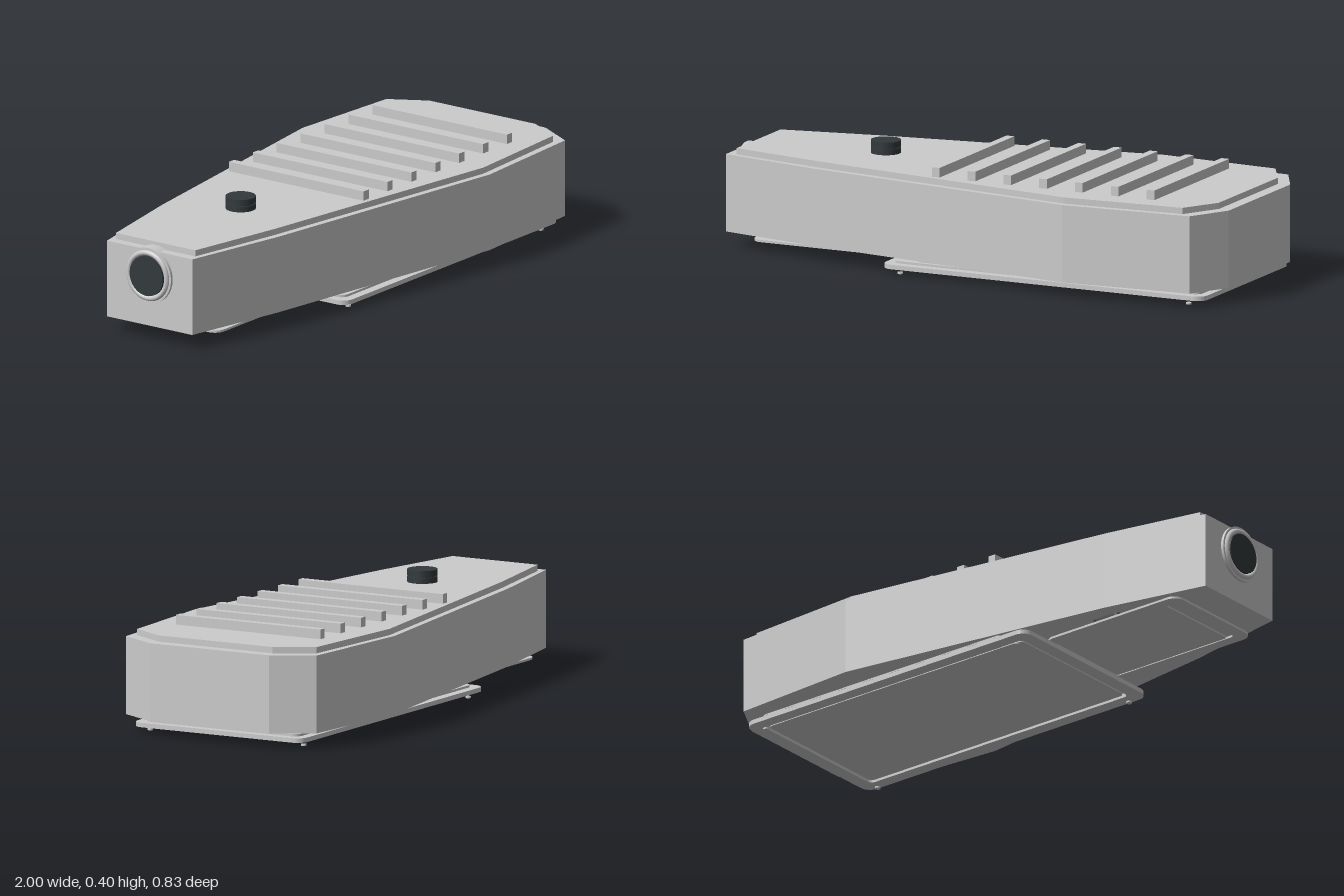
import * as THREE from 'three';

const grey = new THREE.MeshStandardMaterial({ color: 0xcccccc, flatShading: true });
const smooth = new THREE.MeshStandardMaterial({ color: 0xcccccc });
const dark = new THREE.MeshStandardMaterial({ color: 0x33393c });

// Symmetric plan outline from one side's [x, z] points
function outline(half) {
  const other = half.map(([x, z]) => [x, -z]).reverse();
  return new THREE.Shape([...other, ...half].map(([x, z]) => new THREE.Vector2(x, z)));
}

// Rounded rectangle in plan, half-width w, from x0 to x1
function roundedRect(x0, x1, w, r, Type = THREE.Shape) {
  const s = new Type();
  s.absarc(x1 - r, w - r, r, 0, Math.PI / 2);
  s.absarc(x0 + r, w - r, r, Math.PI / 2, Math.PI);
  s.absarc(x0 + r, -w + r, r, Math.PI, Math.PI * 1.5);
  s.absarc(x1 - r, -w + r, r, Math.PI * 1.5, Math.PI * 2);
  s.closePath();
  return s;
}

export function createModel() {
  const model = new THREE.Group();
  model.name = 'footPedal';

  function add(name, geometry, material, x = 0, y = 0, z = 0) {
    const mesh = new THREE.Mesh(geometry, material);
    mesh.name = name;
    mesh.position.set(x, y, z);
    model.add(mesh);
    return mesh;
  }

  // Extrude a plan shape upwards between two heights
  function slab(name, shape, y0, y1, material = grey) {
    const g = new THREE.ExtrudeGeometry(shape, { depth: y1 - y0, bevelEnabled: false, curveSegments: 6 });
    g.rotateX(-Math.PI / 2);
    return add(name, g, material, 0, y0, 0);
  }

  // Tapered body and inset top plate
  slab('body', outline([[-0.98, 0.185], [-0.59, 0.265], [0.44, 0.416], [0.92, 0.385], [1, 0.24]]), 0.055, 0.33);
  slab('topPlate', outline([[-0.945, 0.172], [-0.58, 0.242], [0.435, 0.392], [0.882, 0.362], [0.957, 0.23]]), 0.33, 0.352);

  // Grip ribs
  for (let i = 0; i < 7; i++) {
    add(`gripRib${i + 1}`, new THREE.BoxGeometry(0.03, 0.035, 0.584), grey, -0.112 + i * 0.139, 0.3685, 0);
  }

  // Button: a stem with a wider cap
  const profile = [[0, 0], [0.053, 0], [0.053, 0.02], [0.048, 0.02], [0.048, 0.024], [0.053, 0.024], [0.053, 0.045], [0, 0.045]];
  const button = new THREE.LatheGeometry(profile.map(p => new THREE.Vector2(...p)), 32);
  add('button', button, new THREE.MeshStandardMaterial({ color: 0x33393c, flatShading: true }), -0.45, 0.352, 0);

  // Socket at the narrow end
  const collar = new THREE.CylinderGeometry(0.1, 0.1, 0.045, 40).rotateZ(Math.PI / 2);
  add('socketCollar', collar, smooth, -0.9675, 0.24, 0);
  const rim = new THREE.TorusGeometry(0.082, 0.01, 8, 40).rotateY(Math.PI / 2);
  add('socketRim', rim, smooth, -0.99, 0.24, 0);
  const hole = new THREE.CylinderGeometry(0.072, 0.072, 0.02, 40).rotateZ(Math.PI / 2);
  add('socketHole', hole, dark, -0.99, 0.24, 0);

  // Wide base plate: frame with an inset panel
  const frame = roundedRect(-0.3, 0.95, 0.343, 0.04);
  frame.holes.push(roundedRect(-0.25, 0.9, 0.295, 0.02, THREE.Path));
  slab('baseFrame', frame, 0.02, 0.036);
  slab('basePanel', roundedRect(-0.24, 0.89, 0.285, 0.02), 0.023, 0.036);
  slab('baseGasket', roundedRect(-0.27, 0.92, 0.31, 0.03), 0.036, 0.044);
  slab('baseSeat', roundedRect(-0.18, 0.9, 0.32, 0.03), 0.05, 0.056);

  // Narrow plate under the socket end
  const narrow = roundedRect(-0.87, -0.28, 0.212, 0.04);
  narrow.holes.push(roundedRect(-0.82, -0.3, 0.17, 0.01, THREE.Path));
  slab('narrowFrame', narrow, 0.036, 0.044);
  slab('narrowPanel', roundedRect(-0.79, -0.3, 0.17, 0.01), 0.039, 0.044);
  slab('narrowSeat', roundedRect(-0.61, -0.49, 0.21, 0.02), 0.044, 0.056, dark);

  // Spacers and screws
  for (const side of [1, -1]) {
    for (const x of [-0.2, 0.85]) {
      add('spacer', new THREE.CylinderGeometry(0.01, 0.01, 0.014, 16), smooth, x, 0.049, side * 0.235);
    }
    for (const x of [-0.24, 0.88]) {
      add('screw', new THREE.CylinderGeometry(0.01, 0.01, 0.006, 16), smooth, x, 0.003, side * 0.31);
    }
  }
  return model;
}
